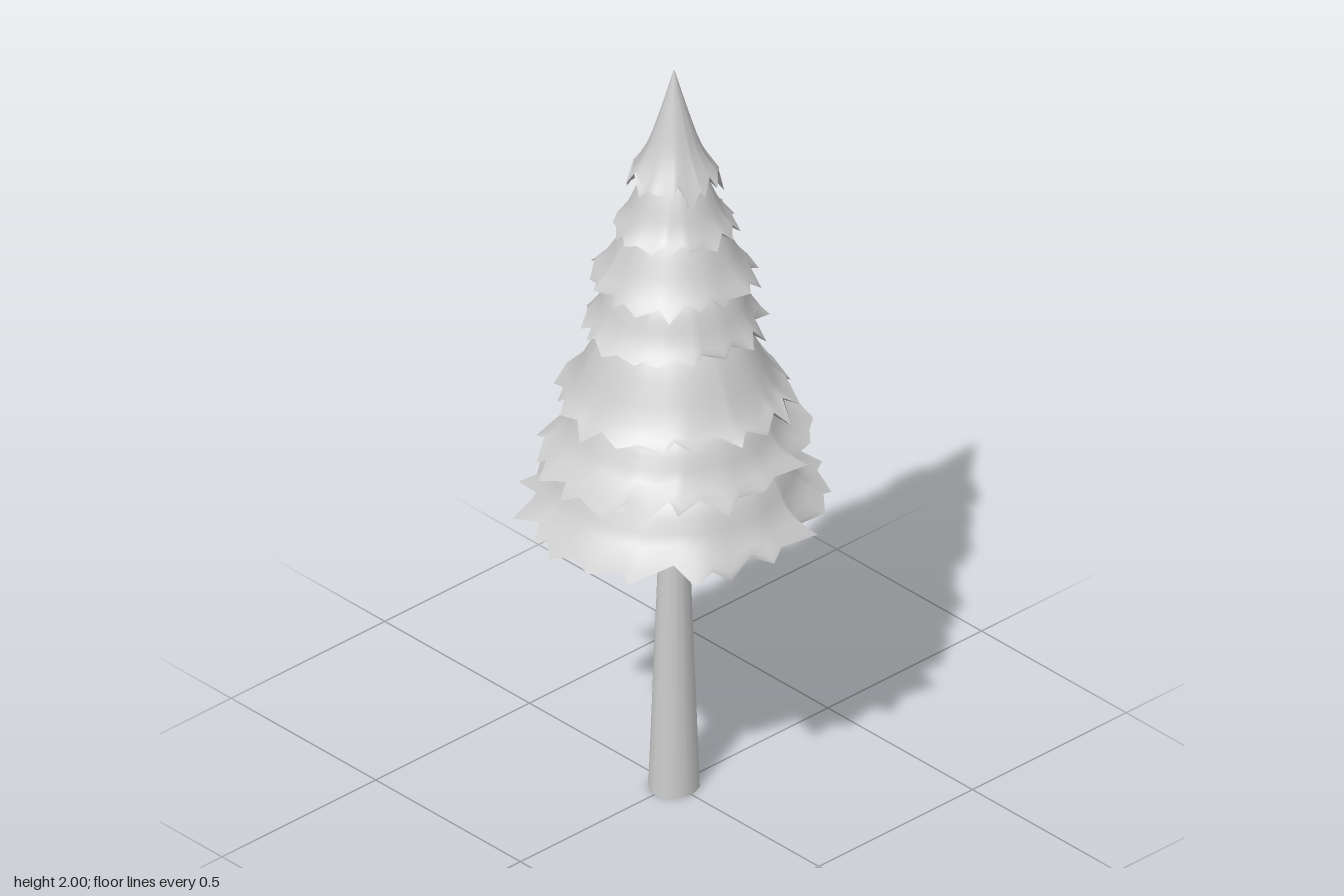
import * as THREE from 'three';

const foliageGrey = new THREE.MeshStandardMaterial({ color: 0xcccccc });
foliageGrey.name = 'light grey';

// Small seeded random generator
function seeded(seed) {
  let s = seed;
  return () => (s = (s * 16807) % 2147483647) / 2147483647;
}

// Joins rings of equal length into a smooth surface, wrapping around the axis
function skin(rings) {
  const n = rings[0].length;
  const index = [];
  for (let r = 0; r < rings.length - 1; r++) {
    for (let i = 0; i < n; i++) {
      const j = (i + 1) % n;
      const a = r * n + i, b = r * n + j, c = a + n, d = b + n;
      index.push(a, c, b, b, c, d);
    }
  }
  const g = new THREE.BufferGeometry();
  g.setAttribute('position', new THREE.Float32BufferAttribute(rings.flat(2), 3));
  g.setIndex(index);
  g.computeVertexNormals();
  return g;
}

// One skirt of branches: a full, flared shell with a ragged hem and a shallow underside
function makeTier({ name, teeth, profile, depth, sx = 1, sz = 1, drop }, seed) {
  const rand = seeded(seed * 7919 + 13);
  const columns = [];
  for (let i = 0; i < teeth * 2; i++) {
    const tip = i % 2 === 0;
    columns.push({
      angle: ((i + (rand() - 0.5) * 0.9) / (teeth * 2)) * Math.PI * 2,
      reach: tip ? 0.91 + rand() * 0.09 : 0.81 + rand() * 0.1,
      lift: tip ? (rand() - 0.5) * drop * 0.8 : drop * (0.2 + rand() * 0.7),
    });
  }
  const ring = (radius, y, rag) => columns.map(({ angle, reach, lift }) => {
    const r = radius * (1 + (reach - 1) * rag);
    return [Math.sin(angle) * r * (1 + (sx - 1) * rag), y + lift * rag,
      Math.cos(angle) * r * (1 + (sz - 1) * rag)];
  });

  const steps = 9;
  const curve = new THREE.SplineCurve(profile.map(([r, y]) => new THREE.Vector2(r, y)));
  const outer = curve.getPoints(steps).map((p, i) => ring(p.x, p.y, (i / steps) ** 4));
  const [hemRadius, hemY] = profile[profile.length - 1];
  const under = [
    ring(hemRadius, hemY, 1),
    ring(hemRadius * 0.78, hemY + depth * 0.35, 0.4),
    ring(hemRadius * 0.4, hemY + depth * 0.8, 0),
    ring(0.001, hemY + depth, 0),
  ];

  const tier = new THREE.Group();
  tier.name = name;
  [['branchShell', outer], ['branchUnderside', under]].forEach(([part, rings]) => {
    const mesh = new THREE.Mesh(skin(rings), foliageGrey);
    mesh.name = part;
    tier.add(mesh);
  });
  return tier;
}

export function createModel() {
  const tree = new THREE.Group();
  tree.name = 'pineTree';

  // Slender tapering trunk
  const trunk = new THREE.Mesh(new THREE.CylinderGeometry(0.028, 0.06, 0.9, 14), foliageGrey);
  trunk.name = 'trunk';
  trunk.position.y = 0.45;
  trunk.scale.z = 1.06;
  tree.add(trunk);

  // Branch tiers from the lowest to the crown: profile points are [radius, y]
  const tiers = [
    { name: 'lowestTier', teeth: 20, drop: 0.035, depth: 0.1, sz: 1.08,
      profile: [[0.15, 1.0], [0.25, 0.935], [0.3, 0.845], [0.375, 0.785]] },
    { name: 'sixthTier', teeth: 19, drop: 0.035, depth: 0.07, sz: 1.18,
      profile: [[0.13, 1.15], [0.215, 1.085], [0.26, 1.0], [0.325, 0.945]] },
    { name: 'fifthTier', teeth: 19, drop: 0.04, depth: 0.06, sx: 1.02,
      profile: [[0.1, 1.35], [0.17, 1.28], [0.24, 1.145], [0.3, 1.095]] },
    { name: 'fourthTier', teeth: 18, drop: 0.03, depth: 0.05, sz: 1.07,
      profile: [[0.09, 1.48], [0.148, 1.42], [0.185, 1.34], [0.225, 1.29]] },
    { name: 'thirdTier', teeth: 17, drop: 0.03, depth: 0.05, sz: 1.03,
      profile: [[0.07, 1.62], [0.115, 1.56], [0.162, 1.475], [0.21, 1.425]] },
    { name: 'secondTier', teeth: 16, drop: 0.03, depth: 0.04, sz: 1.05,
      profile: [[0.05, 1.74], [0.085, 1.68], [0.117, 1.61], [0.155, 1.565]] },
    { name: 'crownTier', teeth: 16, drop: 0.06, depth: 0.06,
      profile: [[0.001, 2], [0.035, 1.88], [0.07, 1.775], [0.12, 1.69]] },
  ];
  tiers.forEach((t, i) => tree.add(makeTier(t, i + 3)));
  return tree;
}
